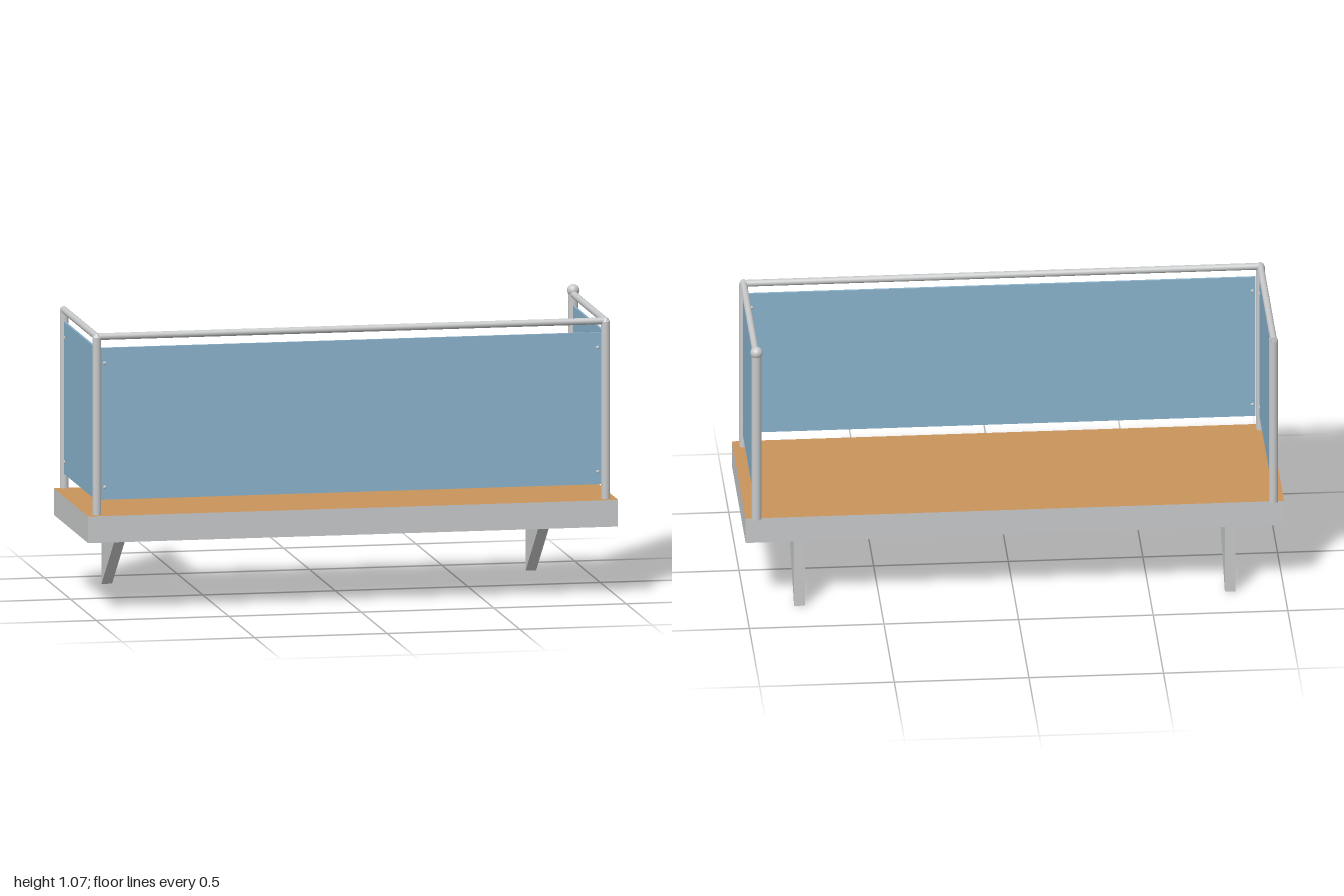
import * as THREE from 'three';

const SLAB_TOP = 0.365, POST_X = 0.96, FRONT_Z = 0.306, BACK_Z = -0.322, RAIL_Y = 1.032;

export function createModel() {
  const model = new THREE.Group();
  model.name = 'balcony';
  const material = (name, color) => {
    const m = new THREE.MeshStandardMaterial({ color });
    m.name = name;
    return m;
  };
  const metal = material('light grey', 0xc8c9ca);
  const wood = material('wood floor', 0xc9935a);
  const glass = material('blue panel', 0x8ab3cd);

  const add = (name, geometry, mat, x, y, z, parent = model) => {
    const mesh = new THREE.Mesh(geometry, mat);
    mesh.name = name;
    mesh.position.set(x, y, z);
    parent.add(mesh);
    return mesh;
  };

  // Slab with a wooden top face
  add('floorSlab', new THREE.BoxGeometry(2, 0.1, 0.665),
    [metal, metal, wood, metal, metal, metal], 0, SLAB_TOP - 0.05, 0.0125);

  // Triangular wall brackets under the slab
  const wedge = new THREE.Shape([
    new THREE.Vector2(-0.32, 0), new THREE.Vector2(0.01, 0.265), new THREE.Vector2(-0.32, 0.265),
  ]);
  const bracket = new THREE.ExtrudeGeometry(wedge, { depth: 0.04, bevelEnabled: false });
  bracket.translate(0, 0, -0.02).rotateY(-Math.PI / 2);
  for (const s of [-1, 1]) add('bracket', bracket, metal, s * 0.8, 0, 0);

  // Upright posts
  const post = (name, x, z, r, top) => add(name,
    new THREE.CylinderGeometry(r, r, top - SLAB_TOP, 24), metal, x, (top + SLAB_TOP) / 2, z);
  for (const s of [-1, 1]) {
    post('frontPost', s * POST_X, FRONT_Z, 0.0165, 1.03);
    add('postElbow', new THREE.CylinderGeometry(0.0085, 0.0165, 0.014, 24), metal,
      s * POST_X, 1.037, FRONT_Z);
  }
  post('backLeftPost', POST_X, BACK_Z, 0.0185, 1.035);
  post('backRightPost', -POST_X, BACK_Z, 0.0165, 1.032);
  add('postBall', new THREE.SphereGeometry(0.023, 24, 16), metal, POST_X, 1.046, BACK_Z);

  // Handrails
  const rail = (length) => new THREE.CylinderGeometry(0.0128, 0.0128, length, 20);
  add('frontRail', rail(2 * POST_X).rotateZ(Math.PI / 2), metal, 0, RAIL_Y, FRONT_Z - 0.002);
  for (const s of [-1, 1]) {
    const end = s < 0 ? -0.337 : BACK_Z;
    add('sideRail', rail(FRONT_Z - end).rotateX(Math.PI / 2), metal,
      s * POST_X, RAIL_Y, (FRONT_Z + end) / 2);
  }

  // Panels, each with four bolt heads showing on both faces
  const boltHead = new THREE.SphereGeometry(0.008, 12, 8);
  const panel = (name, width, x, z, turn) => {
    const group = new THREE.Group();
    group.name = name;
    group.position.set(x, 0, z);
    group.rotation.y = turn;
    add('panelSheet', new THREE.BoxGeometry(width, 0.57, 0.008), glass, 0, 0.705, 0, group);
    for (const s of [-1, 1]) {
      for (const y of [0.467, 0.933]) add('bolt', boltHead, metal, s * (width / 2 - 0.012), y, 0, group);
    }
    model.add(group);
  };
  panel('frontPanel', 1.884, 0, FRONT_Z - 0.002, 0);
  for (const s of [-1, 1]) panel('sidePanel', 0.589, s * POST_X, -0.0085, Math.PI / 2);

  return model;
}
